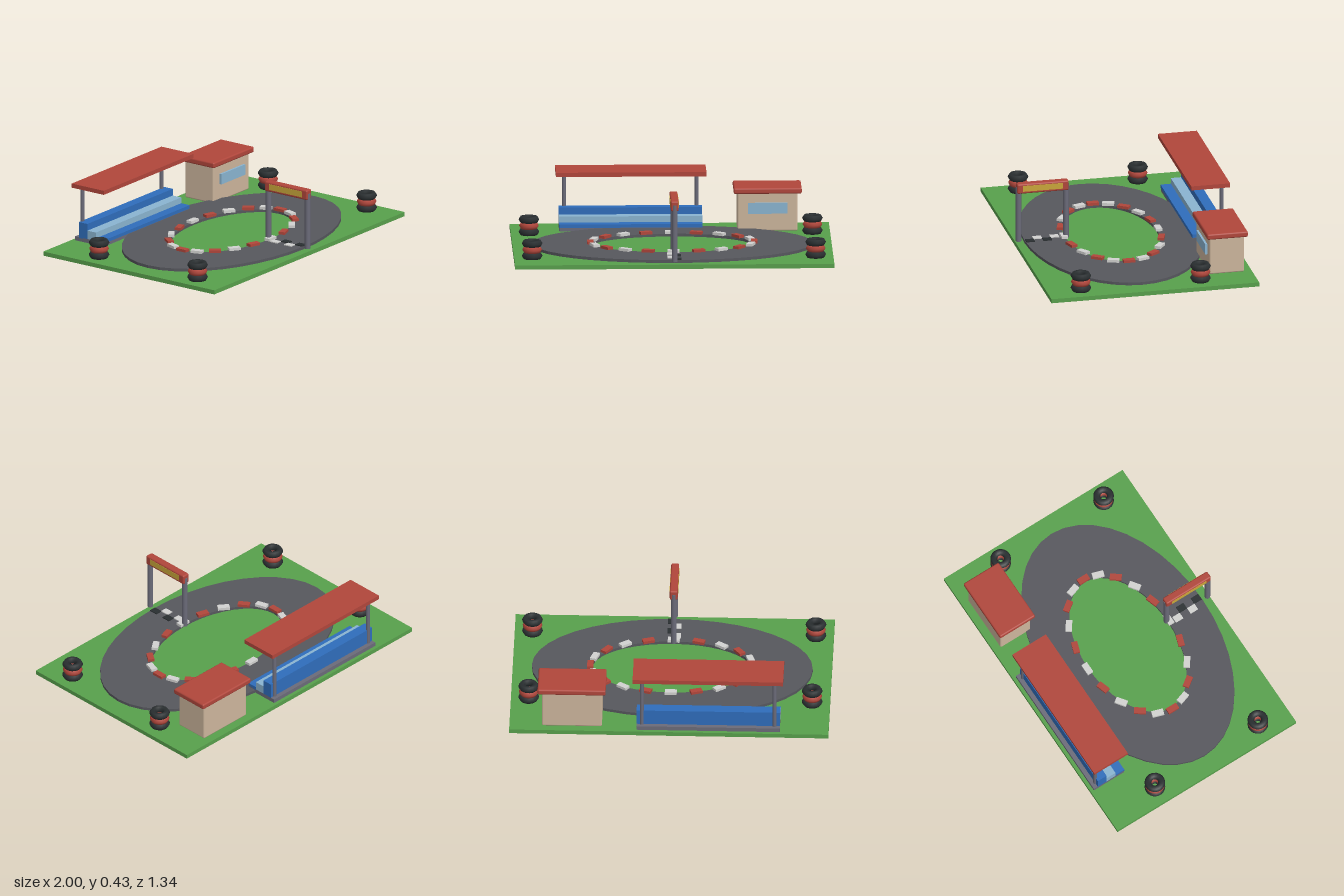
import * as THREE from 'three';
import { RoundedBoxGeometry } from 'three/addons/geometries/RoundedBoxGeometry.js';

const colours = {
  grass: 0x58a04c, asphalt: 0x56575d, red: 0xb0463b, blue: 0x2f6dbb, paleBlue: 0x8ab4d0,
  beige: 0xccb59c, yellow: 0xc9a63a, steel: 0x6b6b79, rubber: 0x2a2f31, white: 0xd2d2d0,
};

export function createModel() {
  const model = new THREE.Group();
  model.name = 'raceTrack';
  const mats = {};
  for (const [name, color] of Object.entries(colours)) {
    mats[name] = new THREE.MeshStandardMaterial({ color });
    mats[name].name = name;
  }

  const group = (name) => {
    const g = new THREE.Group();
    g.name = name;
    model.add(g);
    return g;
  };
  const add = (parent, name, geometry, mat) => {
    const mesh = new THREE.Mesh(geometry, mats[mat]);
    mesh.name = name;
    parent.add(mesh);
    return mesh;
  };
  // Box given by its limits on each axis, optionally with softened edges
  const box = (parent, name, mat, [x0, x1], [y0, y1], [z0, z1], bevel = 0) => {
    const size = [x1 - x0, y1 - y0, z1 - z0];
    const geo = bevel ? new RoundedBoxGeometry(...size, 2, bevel) : new THREE.BoxGeometry(...size);
    const mesh = add(parent, name, geo, mat);
    mesh.position.set((x0 + x1) / 2, (y0 + y1) / 2, (z0 + z1) / 2);
    return mesh;
  };
  const post = (parent, name, radius, x, z, y0, y1) => {
    const mesh = add(parent, name, new THREE.CylinderGeometry(radius, radius, y1 - y0, 12), 'steel');
    mesh.position.set(x, (y0 + y1) / 2, z);
  };

  // Ground slab
  box(model, 'ground', 'grass', [-1, 1], [0, 0.027], [-0.667, 0.667]);

  // Oval track with a grass infield
  const centreZ = 0.059;
  const oval = new THREE.Shape();
  oval.absellipse(0, -centreZ, 0.88, 0.555, 0, Math.PI * 2);
  const infield = new THREE.Path();
  infield.absellipse(0, -centreZ, 0.5, 0.295, 0, Math.PI * 2, true);
  oval.holes.push(infield);
  const trackGeo = new THREE.ExtrudeGeometry(oval, { depth: 0.018, bevelEnabled: false, curveSegments: 20 });
  trackGeo.rotateX(-Math.PI / 2).translate(0, 0.027, 0);
  add(model, 'track', trackGeo, 'asphalt');

  // Alternating kerb blocks around the infield
  const kerbs = group('kerbs');
  const kerbGeo = new THREE.BoxGeometry(0.04, 0.018, 0.075);
  for (let i = 0; i < 20; i++) {
    const a = (i * Math.PI) / 10;
    const kerb = add(kerbs, 'kerb', kerbGeo, i % 2 ? 'white' : 'red');
    kerb.position.set(Math.cos(a) * 0.513, 0.053, centreZ + Math.sin(a) * 0.303);
    kerb.rotation.y = -a;
  }

  // Staggered start line tiles
  const startLine = group('startLine');
  for (let i = 0; i < 4; i++) {
    const z = 0.39 + i * 0.055;
    const xs = i % 2 ? [0, 0.043] : [-0.043, 0];
    box(startLine, 'startTile', i % 2 ? 'rubber' : 'white', xs, [0.044, 0.051], [z, z + 0.055]);
  }

  // Start gantry
  const gantry = group('startGantry');
  for (const z of [0.347, 0.652]) post(gantry, 'gantryPost', 0.018, 0, z, 0.043, 0.405);
  box(gantry, 'gantryBeam', 'red', [-0.025, 0.025], [0.365, 0.43], [0.333, 0.665], 0.01);
  for (const side of [-1, 1]) {
    const panel = box(gantry, 'gantryPanel', 'yellow', [-0.003, 0.003], [0.38, 0.418], [0.372, 0.628]);
    panel.position.x = side * 0.024;
  }

  // Grandstand: plinth, three stepped rows, posts and roof
  const stand = group('grandstand');
  const standX = [-0.695, 0.203];
  box(stand, 'plinth', 'steel', standX, [0.027, 0.053], [-0.645, -0.42]);
  [[0.07, 'blue'], [0.108, 'paleBlue'], [0.152, 'blue']].forEach(([top, mat], i) => {
    const front = -0.418 - i * 0.066;
    box(stand, 'seatRow', mat, standX, [0.048, top], [front - 0.066, front]);
  });
  for (const x of [-0.661, 0.17]) post(stand, 'roofPost', 0.0125, x, -0.614, 0.045, 0.385);
  box(stand, 'standRoof', 'red', [-0.716, 0.227], [0.376, 0.403], [-0.656, -0.406]);

  // Control hut
  const hut = group('controlHut');
  box(hut, 'hutWalls', 'beige', [0.42, 0.797], [0.027, 0.275], [-0.618, -0.394], 0.01);
  box(hut, 'hutRoof', 'red', [0.397, 0.823], [0.267, 0.304], [-0.636, -0.374], 0.01);
  box(hut, 'hutWindow', 'paleBlue', [0.485, 0.735], [0.14, 0.208], [-0.396, -0.38]);

  // Tyre stacks near the corners
  const tyreGeo = new THREE.TorusGeometry(0.043, 0.022, 6, 18).rotateX(Math.PI / 2);
  for (const x of [-0.888, 0.888]) {
    for (const z of [-0.315, 0.453]) {
      const stack = group('tyreStack');
      stack.position.set(x, 0, z);
      ['rubber', 'red', 'rubber'].forEach((mat, i) => {
        const tyre = add(stack, 'tyre', tyreGeo, mat);
        tyre.position.y = 0.047 + i * 0.0395;
        if (i === 1) tyre.scale.set(0.95, 1, 0.95);
      });
    }
  }
  return model;
}
